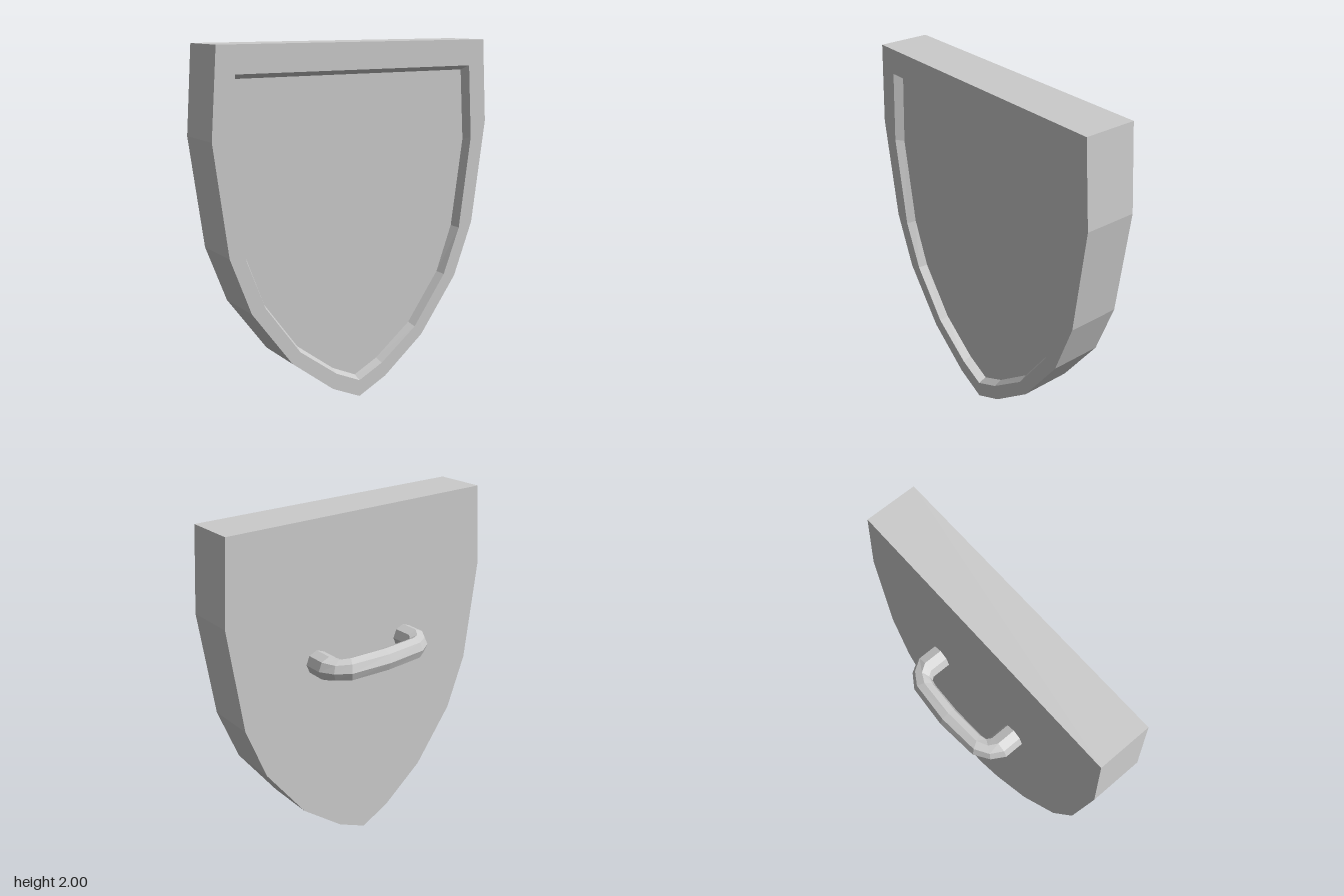
import * as THREE from 'three';

// Skin a series of closed rings (equal point counts) and close both ends with fans.
function loft(rings) {
  const n = rings[0].length, last = (rings.length - 1) * n, index = [];
  for (let i = 0; i < rings.length - 1; i++) {
    for (let j = 0; j < n; j++) {
      const a = i * n + j, b = i * n + (j + 1) % n;
      index.push(a, b, a + n, b, b + n, a + n);
    }
  }
  for (let j = 1; j < n - 1; j++) {
    index.push(0, j + 1, j);
    index.push(last, last + j, last + j + 1);
  }
  const indexed = new THREE.BufferGeometry().setFromPoints(rings.flat());
  indexed.setIndex(index);
  const geometry = indexed.toNonIndexed();
  geometry.computeVertexNormals();
  return geometry;
}

// Mirror a half outline (bottom tip first, rising on +x) into a full ring at depth z.
function outlineRing(half, z) {
  const right = half.map(([x, y]) => new THREE.Vector3(x, y, z));
  const left = half.slice(1).reverse().map(([x, y]) => new THREE.Vector3(-x, y, z));
  return [...right, ...left];
}

export function createModel() {
  const group = new THREE.Group();
  group.name = 'shield';
  const material = new THREE.MeshStandardMaterial({ color: 0xcccccc, flatShading: true });
  const add = (name, geometry) => {
    const mesh = new THREE.Mesh(geometry, material);
    mesh.name = name;
    group.add(mesh);
  };

  // Shield board: thick slab whose front is recessed behind a raised rim
  const outer = [[0, 0], [0.18, 0.085], [0.44, 0.29], [0.68, 0.615], [0.8, 0.93], [0.88, 1.53], [0.845, 2]];
  const rim = [[0, 0.097], [0.155, 0.17], [0.39, 0.347], [0.6, 0.635], [0.705, 0.905], [0.775, 1.44], [0.745, 1.855]];
  const floor = [[0, 0.115], [0.15, 0.187], [0.38, 0.363], [0.585, 0.643], [0.685, 0.913], [0.755, 1.425], [0.725, 1.83]];
  add('shieldBoard', loft([
    outlineRing(outer, -0.018),
    outlineRing(outer, 0.278),
    outlineRing(rim, 0.278),
    outlineRing(floor, 0.228),
  ]));

  // Back handle: eight-sided bar; each station is [outer x, outer z, inner x, inner z, half height]
  const halfBar = [
    [0.378, -0.01, 0.238, -0.01, 0.07],
    [0.378, -0.13, 0.238, -0.13, 0.07],
    [0.333, -0.205, 0.225, -0.148, 0.06],
    [0.25, -0.26, 0.19, -0.155, 0.065],
    [0, -0.28, 0, -0.162, 0.065],
  ];
  const mirrored = ([ox, oz, ix, iz, h]) => [-ox, oz, -ix, iz, h];
  const stations = [...halfBar.map(mirrored), ...halfBar.slice(0, -1).reverse()];
  const sides = 8, centreX = 0.018, centreY = 1.205;
  add('handle', loft(stations.map(([ox, oz, ix, iz, h]) =>
    Array.from({ length: sides }, (_, k) => {
      const a = (k / sides) * Math.PI * 2, t = (1 + Math.cos(a)) / 2;
      return new THREE.Vector3(
        centreX + ix + (ox - ix) * t,
        centreY + h * Math.sin(a),
        iz + (oz - iz) * t,
      );
    }))));

  return group;
}
